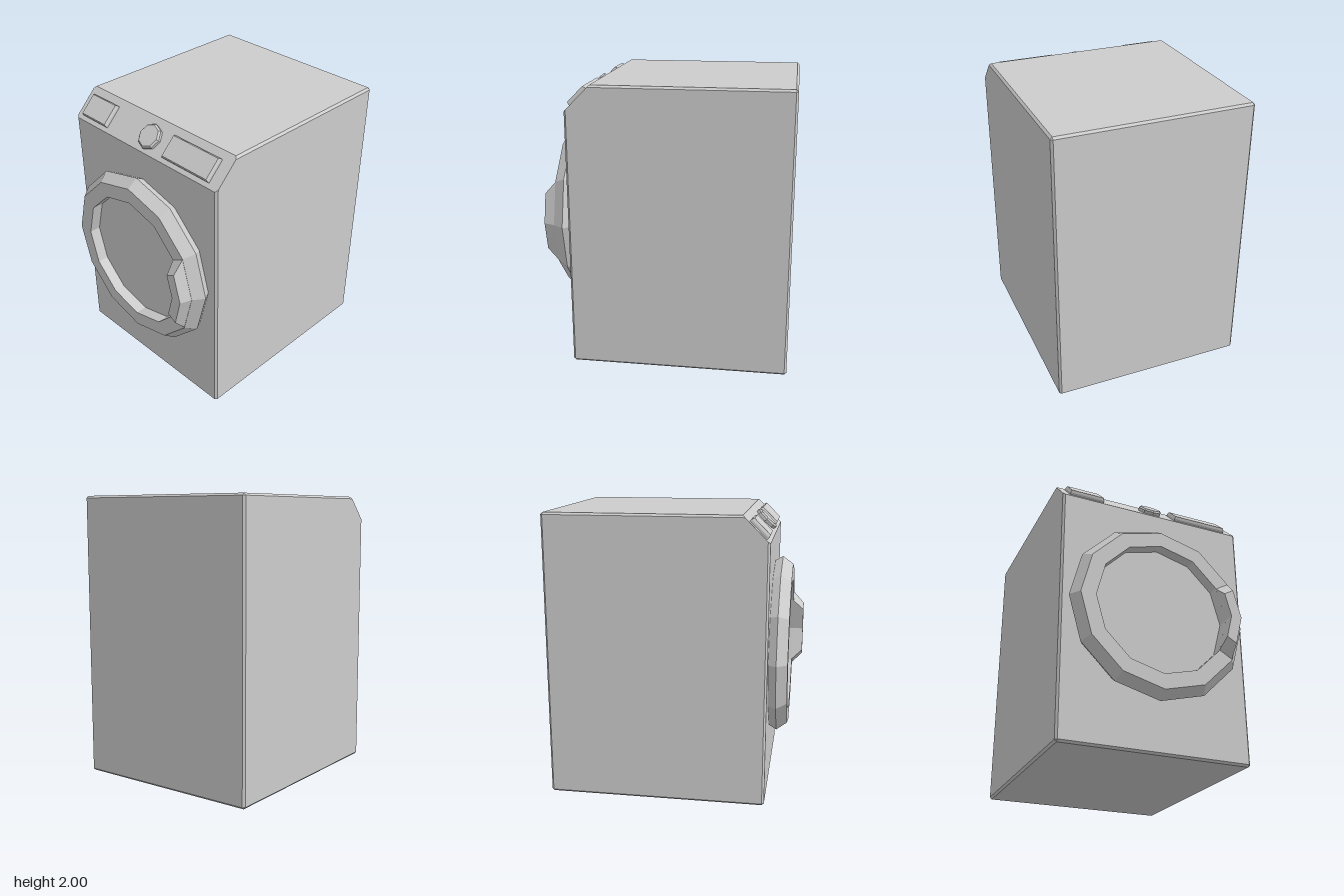
import * as THREE from 'three';
import { ConvexGeometry } from 'three/addons/geometries/ConvexGeometry.js';

export function createModel() {
  const model = new THREE.Group();
  model.name = 'washingMachine';
  const lightGrey = new THREE.MeshStandardMaterial({ color: 0xcccccc, flatShading: true });
  lightGrey.name = 'lightGrey';

  const add = (name, geometry, parent = model) => {
    const mesh = new THREE.Mesh(geometry, lightGrey);
    mesh.name = name;
    parent.add(mesh);
    return mesh;
  };

  // Cabinet: box with chamfered edges and a sloped upper front
  const W = 0.692, H = 2, F = 0.66, B = -0.868, c = 0.015;
  const corners = [];
  for (const s of [-1, 1]) {
    const corner = (y, z, dy, dz) => corners.push(
      new THREE.Vector3(s * W, y + dy * c, z + dz * c),
      new THREE.Vector3(s * (W - c), y, z + dz * c),
      new THREE.Vector3(s * (W - c), y + dy * c, z));
    corner(0, F, 1, -1);
    corner(0, B, 1, 1);
    corner(H, B, -1, 1);
    // ends of the sloped panel
    for (const [x, y, z] of [[W - c, 1.82, F], [W, 1.82 + c, F - c], [W, H - c, 0.48 + c], [W - c, H, 0.48]]) {
      corners.push(new THREE.Vector3(s * x, y, z));
    }
  }
  add('cabinet', new ConvexGeometry(corners));

  // Door: twelve-sided ring with a recessed centre
  const door = new THREE.Group();
  door.name = 'door';
  door.position.y = 0.995;
  model.add(door);
  const profile = [[0.615, 0.655], [0.65, 0.715], [0.595, 0.79], [0.485, 0.79], [0.485, 0.71], [0, 0.71]]
    .map(([r, z]) => new THREE.Vector2(r, z));
  add('doorRing', new THREE.LatheGeometry(profile, 12).rotateX(Math.PI / 2), door);

  // Door handle: tapered grip following the ring, three sections of four points
  const z0 = 0.785, z1 = 0.868;
  const sections = [
    [[0.42, -0.2425, z0], [0.515, -0.2975, z0], [0.512, -0.205, z1], [0.443, -0.165, z1]],
    [[0.485, 0, z0], [0.595, 0, z0], [0.565, 0, z1], [0.487, 0, z1]],
    [[0.42, 0.2425, z0], [0.515, 0.2975, z0], [0.512, 0.205, z1], [0.443, 0.165, z1]],
  ];
  const index = [0, 1, 2, 0, 2, 3, 8, 10, 9, 8, 11, 10];
  for (let i = 0; i < 2; i++) {
    for (let j = 0; j < 4; j++) {
      const a = i * 4 + j, b = i * 4 + (j + 1) % 4;
      index.push(a, a + 4, b, b, a + 4, b + 4);
    }
  }
  const handle = new THREE.BufferGeometry();
  handle.setAttribute('position', new THREE.Float32BufferAttribute(sections.flat(2), 3));
  handle.setIndex(index);
  handle.computeVertexNormals();
  add('doorHandle', handle, door);

  // Controls: local z points out of the sloped panel
  const controls = new THREE.Group();
  controls.name = 'controls';
  controls.position.set(0, 1.912, 0.59);
  controls.rotation.x = -Math.PI / 4;
  model.add(controls);

  // Raised plate whose outer face is slightly smaller
  const plate = (name, x0, x1) => {
    const w = x1 - x0, h = 0.165, inset = 0.008;
    const geometry = new THREE.BoxGeometry(w, h, 0.036, 1, 1, 2);
    const p = geometry.attributes.position;
    for (let i = 0; i < p.count; i++) {
      if (p.getZ(i) > 0.01) {
        p.setX(i, p.getX(i) * (1 - 2 * inset / w));
        p.setY(i, p.getY(i) * (1 - 2 * inset / h));
      }
    }
    add(name, geometry, controls).position.x = (x0 + x1) / 2;
  };
  plate('detergentDrawer', -0.635, -0.378);
  plate('displayPanel', 0.188, 0.605);

  // Octagonal programme knob
  const knob = [[0.088, -0.018], [0.09, 0.006], [0.078, 0.018], [0, 0.018]]
    .map(([r, z]) => new THREE.Vector2(r, z));
  add('programmeKnob', new THREE.LatheGeometry(knob, 8).rotateX(Math.PI / 2), controls).position.x = 0.011;

  return model;
}
